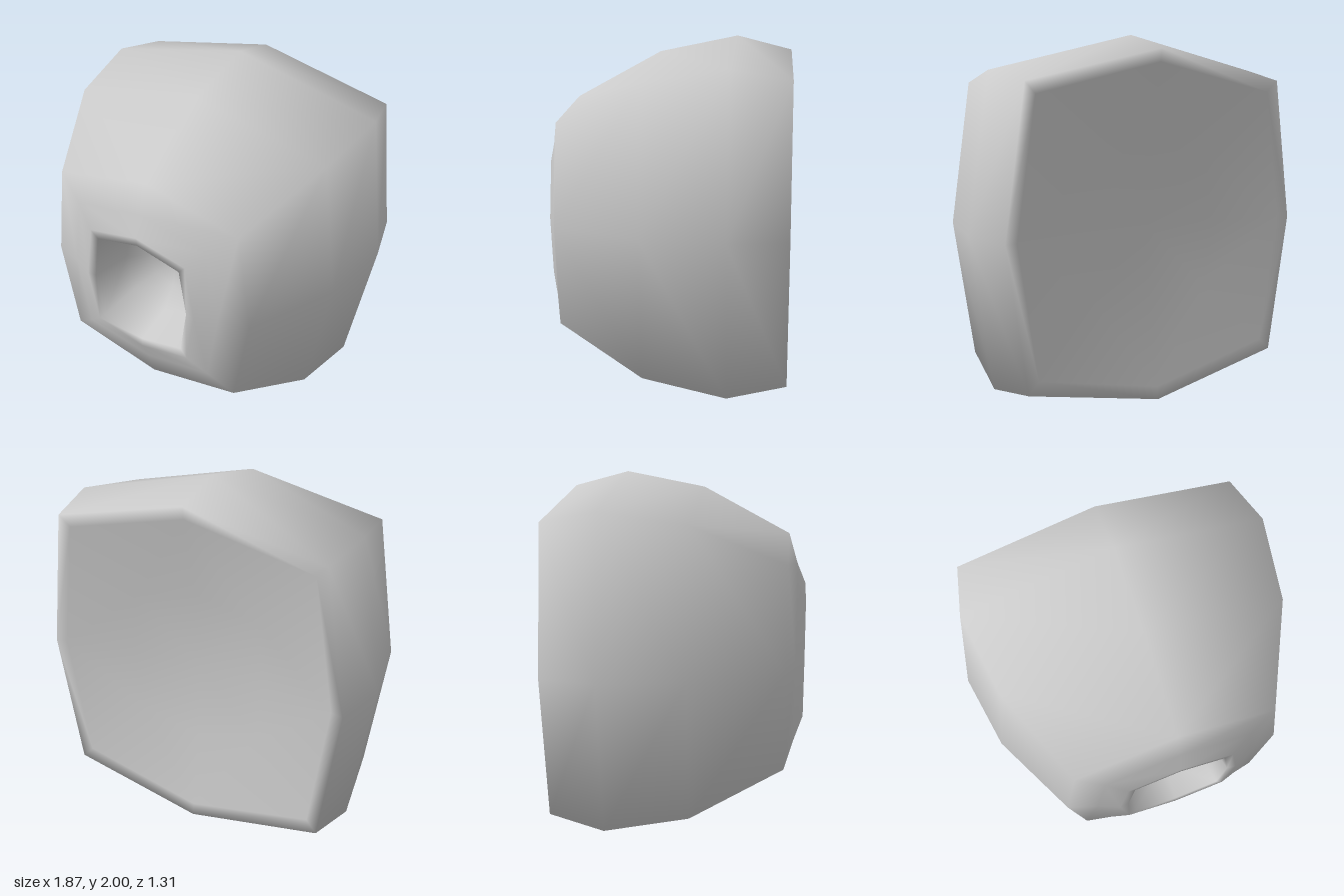
import * as THREE from 'three';

// Lofts eight-sided rings [z, halfWidth, halfHeight, cornerX, cornerY] from the
// cavity floor, over the rim and along the outside to the back.
function loft(rings, startZ, endZ, cy) {
  const pos = [], idx = [], n = 8;
  for (const [z, w, h, cx, ch] of rings) {
    const loop = [[w, 0], [cx, ch], [0, h], [-cx, ch], [-w, 0], [-cx, -ch], [0, -h], [cx, -ch]];
    for (const [x, y] of loop) pos.push(x, cy + y, z);
  }
  const first = rings.length * n, last = first + 1;
  pos.push(0, cy, startZ, 0, cy, endZ);
  for (let j = 0; j < n; j++) {
    const k = (j + 1) % n, top = (rings.length - 1) * n;
    idx.push(first, j, k, last, top + k, top + j);
    for (let i = 0; i < rings.length - 1; i++) {
      const a = i * n + j, b = i * n + k, c = b + n, d = a + n;
      // split quads so the left and right halves mirror each other
      if (j % 2) idx.push(a, d, b, d, c, b);
      else idx.push(a, d, c, a, c, b);
    }
  }
  const g = new THREE.BufferGeometry();
  g.setAttribute('position', new THREE.Float32BufferAttribute(pos, 3));
  g.setIndex(idx);
  g.computeVertexNormals();
  return g;
}

export function createModel() {
  const group = new THREE.Group();
  group.name = 'hollowBlock';
  const rings = [
    // bowl-shaped cavity
    [0.34, 0.14, 0.16, 0.11, 0.12],
    [0.43, 0.25, 0.28, 0.21, 0.22],
    [0.65, 0.295, 0.33, 0.255, 0.27],
    // flat rim
    [0.655, 0.345, 0.38, 0.295, 0.315],
    // rounded outside
    [0.607, 0.46, 0.495, 0.4, 0.42],
    [0.558, 0.62, 0.66, 0.54, 0.54],
    [0.08, 0.86, 0.915, 0.75, 0.75],
    [-0.355, 0.935, 1.0, 0.813, 0.813],
    [-0.655, 0.865, 0.922, 0.755, 0.76],
    // dished back
    [-0.645, 0.8, 0.855, 0.695, 0.7],
    [-0.565, 0.4, 0.43, 0.35, 0.35],
  ];
  const body = new THREE.Mesh(
    loft(rings, 0.31, -0.535, 1),
    new THREE.MeshStandardMaterial({ color: 0xcccccc }),
  );
  body.name = 'body';
  group.add(body);
  return group;
}
